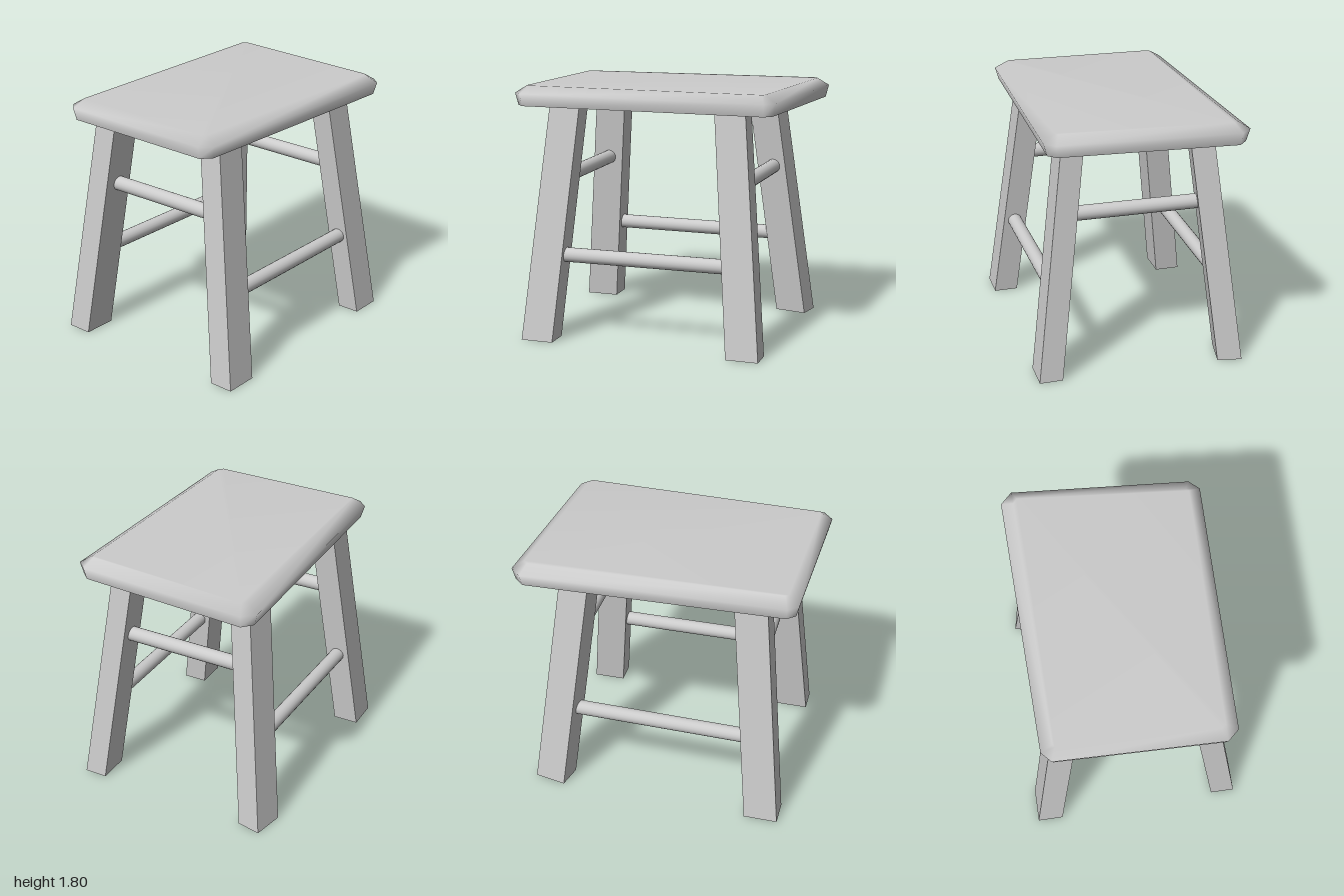
import * as THREE from 'three';

const material = new THREE.MeshStandardMaterial({ color: 0xcccccc });

// Skin a stack of rings (counter-clockwise from above, points [x, y, z]), closed with fans.
function loft(rings, smooth) {
  const n = rings[0].length;
  const points = rings.flat();
  const index = [];
  for (let r = 0; r < rings.length - 1; r++) {
    for (let i = 0; i < n; i++) {
      const j = (i + 1) % n;
      const a = r * n + i, b = r * n + j;
      index.push(a, b, b + n, a, b + n, a + n);
    }
  }
  // the underside gets its own vertices, so its edge stays sharp
  const top = (rings.length - 1) * n;
  const under = points.length;
  points.push(...rings[0]);
  for (let i = 1; i < n - 1; i++) {
    index.push(top, top + i, top + i + 1);
    index.push(under, under + i + 1, under + i);
  }
  let geometry = new THREE.BufferGeometry();
  geometry.setAttribute('position', new THREE.Float32BufferAttribute(points.flat(), 3));
  geometry.setIndex(index);
  if (!smooth) geometry = geometry.toNonIndexed();
  geometry.computeVertexNormals();
  return geometry;
}

function addMesh(group, name, geometry) {
  const mesh = new THREE.Mesh(geometry, material);
  mesh.name = name;
  group.add(mesh);
  return mesh;
}

function addRod(group, name, from, to) {
  const a = new THREE.Vector3(...from), b = new THREE.Vector3(...to);
  const rod = addMesh(group, name, new THREE.CylinderGeometry(0.052, 0.052, a.distanceTo(b), 20));
  rod.position.copy(a).add(b).multiplyScalar(0.5);
  rod.quaternion.setFromUnitVectors(new THREE.Vector3(0, 1, 0), b.sub(a).normalize());
}

export function createModel() {
  const group = new THREE.Group();
  group.name = 'stool';

  // Seat: hand-cut slab with clipped corners and a bevelled upper rim
  const outline = [
    [-0.62, -1.0], [-0.70, -0.92], [-0.655, 0.90], [-0.59, 0.97],
    [0.57, 1.0], [0.65, 0.93], [0.69, -0.84], [0.62, -0.905],
  ];
  const sideCorner = [false, true, true, false, false, true, true, false];
  const ring = (y, dx, dz) => outline.map(([x, z], i) => {
    const [ix, iz] = sideCorner[i] ? [dx, dz * 0.4] : [dx * 0.4, dz];
    return [x - Math.sign(x) * ix, y, z - Math.sign(z) * iz];
  });
  const seatRings = [ring(1.665, 0.025, 0.02), ring(1.752, 0, 0), ring(1.805, 0.085, 0.08)];
  addMesh(group, 'seat', loft(seatRings, true));

  // Legs: splayed square posts, foot outline plus the shift and narrowing at the top
  const legs = {
    frontRightLeg: { foot: [[-0.77, 0.69], [-0.77, 0.93], [-0.585, 0.93], [-0.585, 0.69]], lean: [0.2, -0.165] },
    frontLeftLeg: { foot: [[0.585, 0.67], [0.585, 0.905], [0.76, 0.905], [0.76, 0.67]], lean: [-0.22, -0.15] },
    backRightLeg: { foot: [[-0.715, -0.9], [-0.76, -0.675], [-0.59, -0.635], [-0.545, -0.865]], lean: [0.185, 0.2] },
    backLeftLeg: { foot: [[0.585, -0.84], [0.585, -0.61], [0.75, -0.61], [0.75, -0.84]], lean: [-0.215, 0.16] },
  };
  for (const [name, { foot, lean }] of Object.entries(legs)) {
    const cx = foot.reduce((s, p) => s + p[0], 0) / 4;
    const cz = foot.reduce((s, p) => s + p[1], 0) / 4;
    const bottom = foot.map(([x, z]) => [x, 0, z]);
    const top = foot.map(([x, z]) => [
      cx + (x - cx) * 0.95 + lean[0], 1.68, cz + (z - cz) * 0.95 + lean[1],
    ]);
    addMesh(group, name, loft([bottom, top], false));
  }

  // Stretchers: high ones across the width, low ones along the depth
  addRod(group, 'frontStretcher', [-0.52, 1.15, 0.69], [0.52, 1.15, 0.68]);
  addRod(group, 'backStretcher', [-0.52, 1.15, -0.63], [0.52, 1.15, -0.615]);
  addRod(group, 'rightStretcher', [-0.605, 0.612, 0.73], [-0.585, 0.612, -0.68]);
  addRod(group, 'leftStretcher', [0.595, 0.612, 0.72], [0.59, 0.612, -0.66]);

  return group;
}
